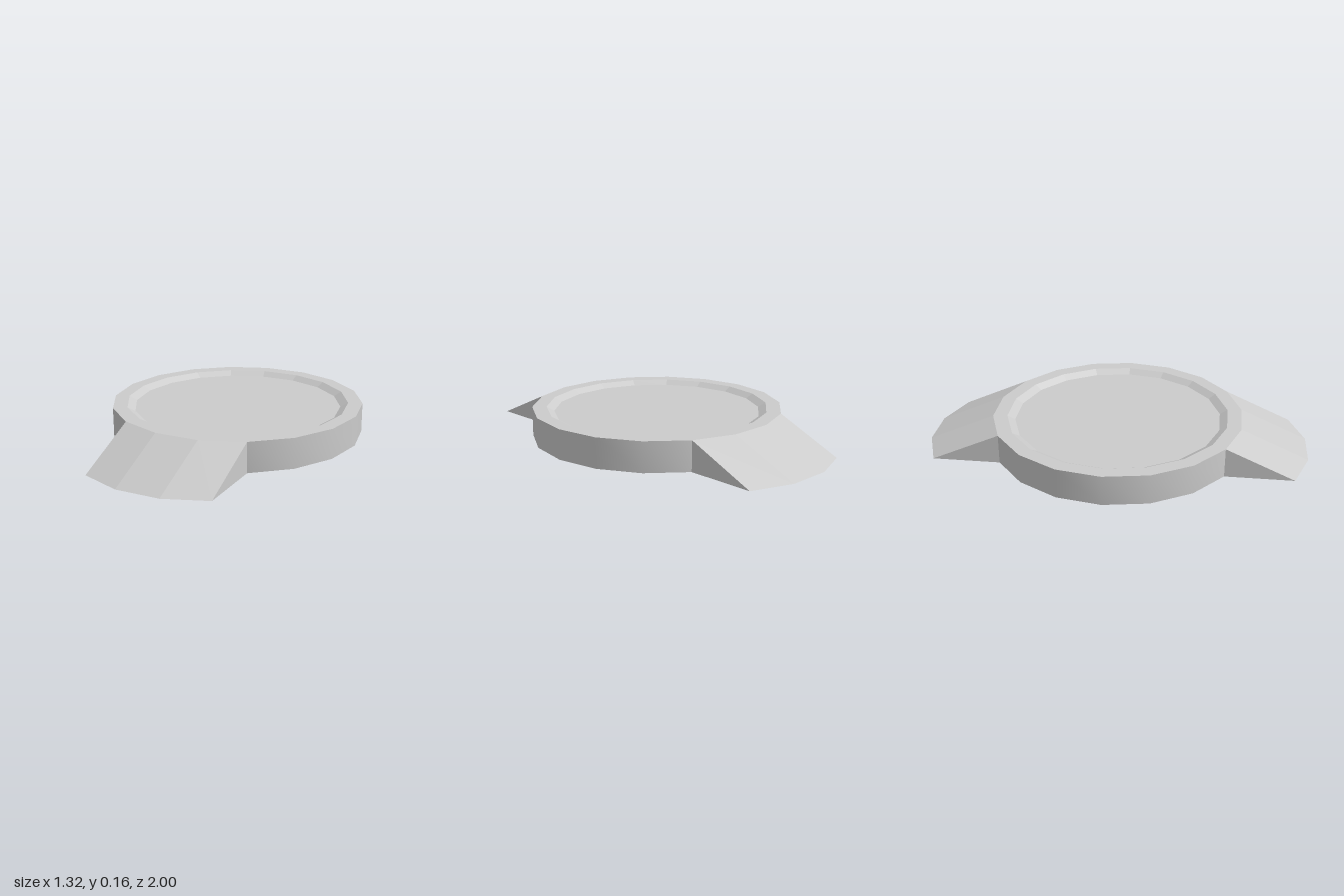
import * as THREE from 'three';
import { toCreasedNormals } from 'three/addons/utils/BufferGeometryUtils.js';

const SIDES = 18, R = 0.66, H = 0.155, REACH = 0.35;
const RIM = 0.585, FLOOR_R = 0.545, DEPTH = 0.023;

// Lathe with corners on the x axis
function lathe(profile) {
  const points = profile.map(([r, y]) => new THREE.Vector2(r, y));
  return new THREE.LatheGeometry(points, SIDES, Math.PI / 2, Math.PI * 2);
}

// Wedge that follows three facets of the disc and slopes down to the ground
function rampGeometry() {
  const top = [], base = [], toe = [];
  for (let i = 0; i < 4; i++) {
    const a = Math.PI / 3 + (i * Math.PI * 2) / SIDES;
    const x = R * Math.cos(a), z = R * Math.sin(a);
    top.push([x, H, z]);
    base.push([x, 0, z]);
    toe.push([x, 0, z + REACH]);
  }
  const faces = [];
  for (let i = 0; i < 3; i++) {
    const j = i + 1;
    faces.push(top[i], top[j], toe[i], top[j], toe[j], toe[i]); // slope
    faces.push(base[i], toe[i], base[j], base[j], toe[i], toe[j]); // underside
  }
  faces.push(top[0], toe[0], base[0], top[3], base[3], toe[3]); // cheeks
  const geometry = new THREE.BufferGeometry();
  geometry.setAttribute('position', new THREE.Float32BufferAttribute(faces.flat(), 3));
  geometry.computeVertexNormals();
  return geometry;
}

export function createModel() {
  const group = new THREE.Group();
  const smooth = new THREE.MeshStandardMaterial({ color: 0xcccccc });
  const flat = new THREE.MeshStandardMaterial({ color: 0xcccccc, flatShading: true });
  const add = (name, geometry, material) => {
    const mesh = new THREE.Mesh(geometry, material);
    mesh.name = name;
    group.add(mesh);
    return mesh;
  };

  // Disc: underside, wall and flat rim
  const disc = lathe([[0, 0], [R, 0], [R, H], [RIM, H]]);
  add('disc', toCreasedNormals(disc, Math.PI / 6), smooth);

  // Shallow dish with a bevelled edge
  add('dish', lathe([[RIM, H], [FLOOR_R, H - DEPTH], [0, H - DEPTH]]), flat);

  // Ramps at the front and back
  const ramp = rampGeometry();
  add('frontRamp', ramp, flat);
  add('backRamp', ramp, flat).rotation.y = Math.PI;

  return group;
}
